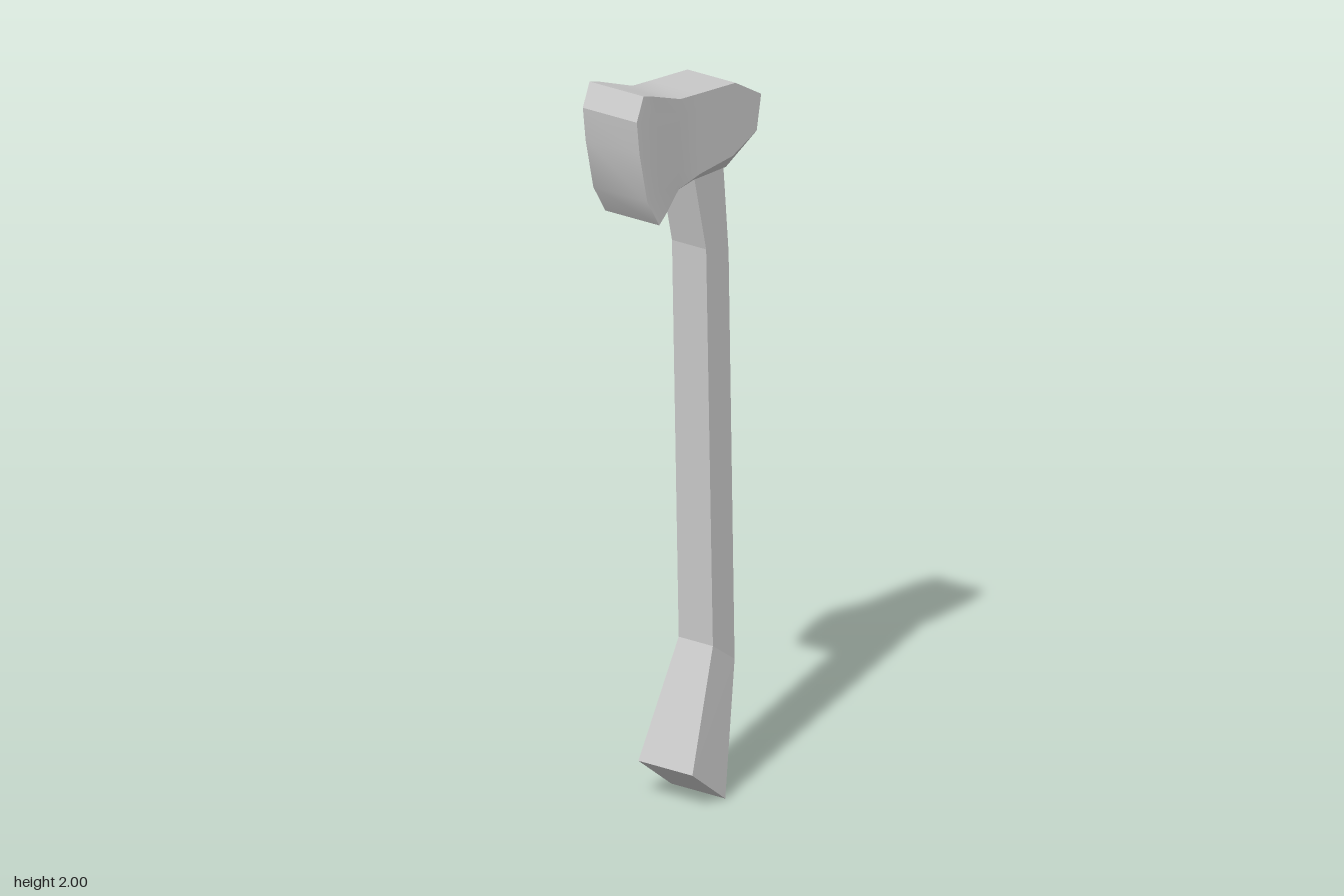
import * as THREE from 'three';
import { toCreasedNormals } from 'three/addons/utils/BufferGeometryUtils.js';

// Closed solid from a grid of [x, y, z] points on the +x side:
// the grid is mirrored to -x and the borders are joined across.
function mirroredSolid(grid) {
  const pos = [];
  const mirror = ([x, y, z]) => [-x, y, z];
  const tri = (a, b, c) => {
    const t = new THREE.Triangle(...[a, b, c].map((p) => new THREE.Vector3(...p)));
    if (t.getArea() > 1e-7) pos.push(...a, ...b, ...c);
  };
  const quad = (a, b, c, d) => { tri(a, b, c); tri(a, c, d); };
  const join = (a, b) => quad(b, a, mirror(a), mirror(b));
  const m = grid.length - 1, n = grid[0].length - 1;

  for (let i = 0; i < m; i++) {
    for (let j = 0; j < n; j++) {
      const q = [grid[i + 1][j], grid[i + 1][j + 1], grid[i][j + 1], grid[i][j]];
      quad(...q);
      quad(...q.map(mirror).reverse());
    }
    join(grid[i][0], grid[i + 1][0]);
    join(grid[i + 1][n], grid[i][n]);
  }
  for (let j = 0; j < n; j++) {
    join(grid[m][j], grid[m][j + 1]);
    join(grid[0][j + 1], grid[0][j]);
  }
  const geo = new THREE.BufferGeometry();
  geo.setAttribute('position', new THREE.Float32BufferAttribute(pos, 3));
  geo.computeVertexNormals();
  return geo;
}

// Axe head: stations from poll to cutting edge, each running top to bottom
function headGeometry() {
  const levels = [0, 0.174, 0.418, 0.79, 1];
  // half width, top [z, y], lower side edge [z, y], underside [half width, y]
  const stations = [
    [0.08, [-0.254, 1.873], [-0.236, 1.778], [0.08, 1.778]],
    [0.08, [-0.151, 1.931], [-0.14, 1.735], [0.057, 1.7]],
    [0.08, [-0.01, 1.941], [-0.01, 1.722], [0.057, 1.7]],
    [0.08, [0.07, 1.947], [0.077, 1.703], [0.08, 1.703]],
    [0.09, [0.188, 1.988], [0.14, 1.655], [0.09, 1.655]],
  ];
  const grid = stations.map(([w, top, low, [bw, by]]) => {
    const mix = (k, t) => THREE.MathUtils.lerp(top[k], low[k], t);
    return [...levels.map((t) => [w, mix(1, t), mix(0, t)]), [bw, by, low[0]]];
  });
  // curved cutting edge
  const edge = [[0.23, 2], [0.257, 1.936], [0.246, 1.846], [0.215, 1.709], [0.167, 1.632], [0.167, 1.632]];
  grid.push(edge.map(([z, y]) => [0.09, y, z]));
  return toCreasedNormals(mirroredSolid(grid), 0.42);
}

// Handle: stations from top to butt, each with a front and a back corner
function handleGeometry() {
  const stations = [
    [0.057, [-0.013, 1.705], [-0.13, 1.705]],
    [0.057, [-0.061, 1.497], [-0.151, 1.465]],
    [0.057, [-0.088, 0.41], [-0.175, 0.352]],
    [0.09, [0.034, 0.098], [-0.098, 0]],
  ];
  return mirroredSolid(stations.map(([w, ...ends]) => ends.map(([z, y]) => [w, y, z])));
}

export function createModel() {
  const group = new THREE.Group();
  group.name = 'axe';
  const add = (name, geometry, flatShading) => {
    const material = new THREE.MeshStandardMaterial({ color: 0xcccccc, flatShading });
    const mesh = new THREE.Mesh(geometry, material);
    mesh.name = name;
    group.add(mesh);
  };
  add('axeHead', headGeometry(), false);
  add('handle', handleGeometry(), true);
  return group;
}
